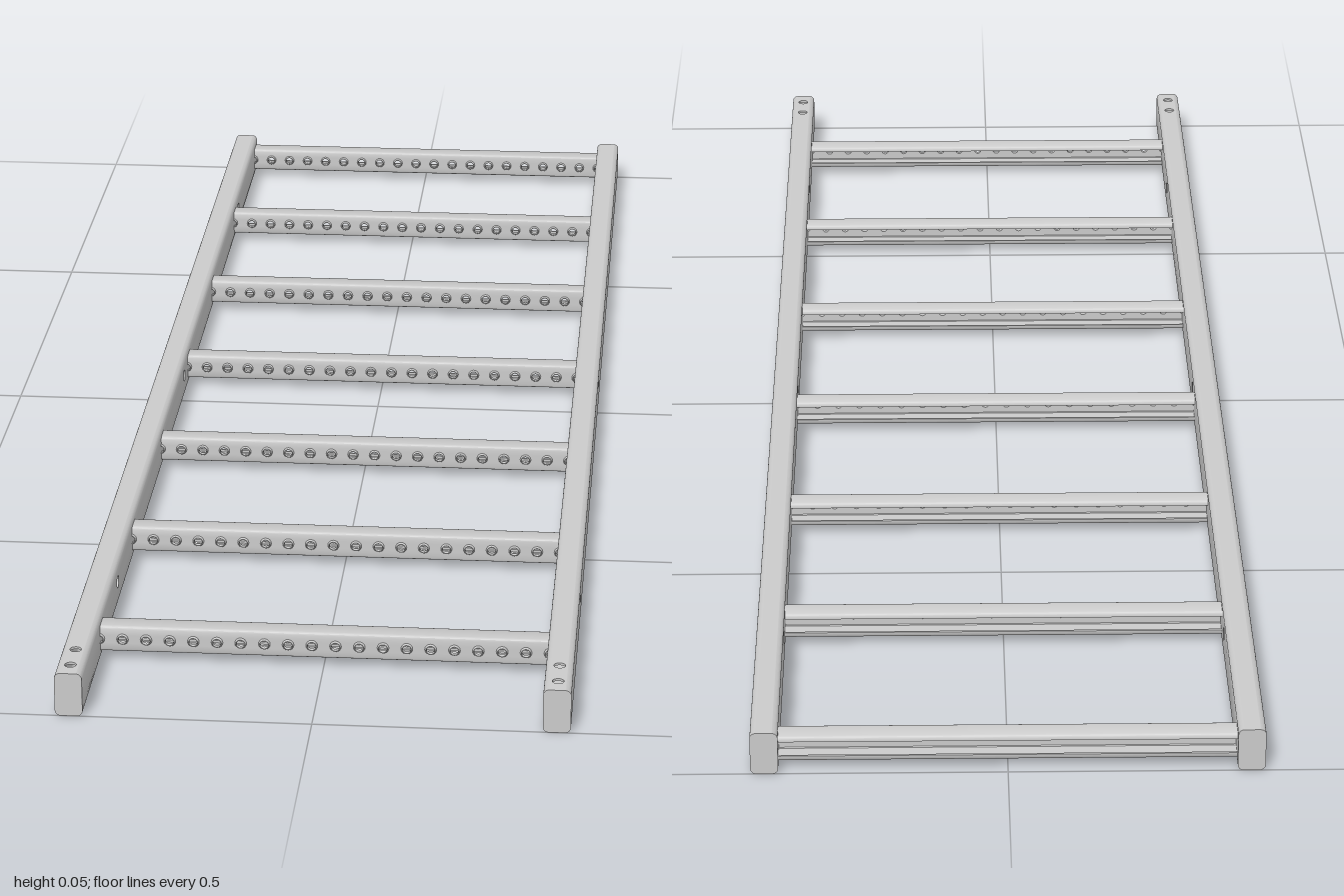
import * as THREE from 'three';
import { mergeGeometries, toCreasedNormals } from 'three/addons/utils/BufferGeometryUtils.js';

const material = new THREE.MeshStandardMaterial({ color: 0xcccccc });

const extrude = (shape, depth) =>
  new THREE.ExtrudeGeometry(shape, { depth, bevelEnabled: false, curveSegments: 8 });

const finish = (parts) => toCreasedNormals(
  mergeGeometries(parts.map((g) => (g.index ? g.toNonIndexed() : g))), 0.6);

// Flat plate in XY, centred, with round holes [x, y, radius]
function plate(w, h, depth, holes = []) {
  const s = new THREE.Shape([
    new THREE.Vector2(-w / 2, -h / 2), new THREE.Vector2(w / 2, -h / 2),
    new THREE.Vector2(w / 2, h / 2), new THREE.Vector2(-w / 2, h / 2)]);
  for (const [x, y, r] of holes) s.holes.push(new THREE.Path().absarc(x, y, r, 0, Math.PI * 2, true));
  return extrude(s, depth);
}

// Hollow rounded box rail along z, drilled through the sides and at the front end
function railGeometry() {
  const hw = 0.0165, hh = 0.0275, r = 0.007, t = 0.003, cap = 0.004;
  const len = 2 - 2 * cap;
  const parts = [];
  const sideHoles = [0.68, -0.02, -0.722].map((z) => [-z, 0.0025, 0.008]);
  const topHoles = [0.932, 0.975].map((z) => [0, -z, 0.007]);
  for (const x of [hw - t, -hw])
    parts.push(plate(len, 2 * (hh - r), t, sideHoles).rotateY(Math.PI / 2).translate(x, 0, 0));
  for (const y of [hh - t, -hh])
    parts.push(plate(2 * (hw - r), len, t, topHoles).rotateX(-Math.PI / 2).translate(0, y, 0));

  // rounded long edges and closed ends
  const outline = new THREE.Shape();
  [[1, 1], [-1, 1], [-1, -1], [1, -1]].forEach(([sx, sy], i) => {
    const cx = sx * (hw - r), cy = sy * (hh - r), a = i * Math.PI / 2, b = a + Math.PI / 2;
    const edge = new THREE.Shape();
    edge.absarc(cx, cy, r, a, b, false);
    edge.absarc(cx, cy, r - t, b, a, true);
    parts.push(extrude(edge, len).translate(0, 0, -len / 2));
    outline.absarc(cx, cy, r, a, b, false);
  });
  for (const z of [-1, 1 - cap]) parts.push(extrude(outline, cap).translate(0, 0, z));
  return finish(parts);
}

// Lipped channel rung along x: perforated tread facing +z, slot facing -z
function rungGeometry() {
  const len = 0.568, pitch = 0.0288, t = 0.003;
  const xs = Array.from({ length: 20 }, (_, i) => (i - 9.5) * pitch);
  const parts = [plate(len, 0.025, t, xs.map((x) => [x, 0, 0.005])).translate(0, 0, 0.014 - t)];

  // upper and lower flanges with rounded corners and turned-in lips
  const flange = new THREE.Shape();
  flange.moveTo(-0.014, 0.0125);
  flange.absarc(-0.01, 0.0125, 0.004, Math.PI, Math.PI / 2, true);
  flange.absarc(0.011, 0.0125, 0.004, Math.PI / 2, 0, true);
  for (const [x, y] of [[0.015, 0.0095], [0.012, 0.0095], [0.012, 0.0125],
    [0.011, 0.0135], [-0.01, 0.0135], [-0.011, 0.0125]]) flange.lineTo(x, y);
  const points = flange.getPoints(6);
  for (const s of [1, -1]) {
    const shape = new THREE.Shape(points.map((p) => new THREE.Vector2(p.x, s * p.y)));
    parts.push(extrude(shape, len).translate(0, 0, -len / 2).rotateY(Math.PI / 2));
  }

  // raised grip rims around the perforations
  const rim = [[0.0072, 0], [0.0058, 0.003], [0.005, 0.003], [0.005, -0.002]]
    .map(([r, y]) => new THREE.Vector2(r, y));
  for (const x of xs)
    parts.push(new THREE.LatheGeometry(rim, 16).rotateX(Math.PI / 2).translate(x, 0, 0.014));
  return finish(parts);
}

export function createModel() {
  const model = new THREE.Group();
  model.name = 'ladder';
  const add = (name, geometry, x, y, z) => {
    const mesh = new THREE.Mesh(geometry, material);
    mesh.name = name;
    mesh.position.set(x, y, z);
    model.add(mesh);
  };

  // side rails
  const rail = railGeometry();
  add('leftRail', rail, 0.2885, 0.0275, 0);
  add('rightRail', rail, -0.2885, 0.0275, 0);

  // seven evenly spaced rungs
  const rung = rungGeometry();
  for (let i = 0; i < 7; i++) add(`rung${i + 1}`, rung, 0, 0.0275, -0.975 + i * 0.3005);

  return model;
}
